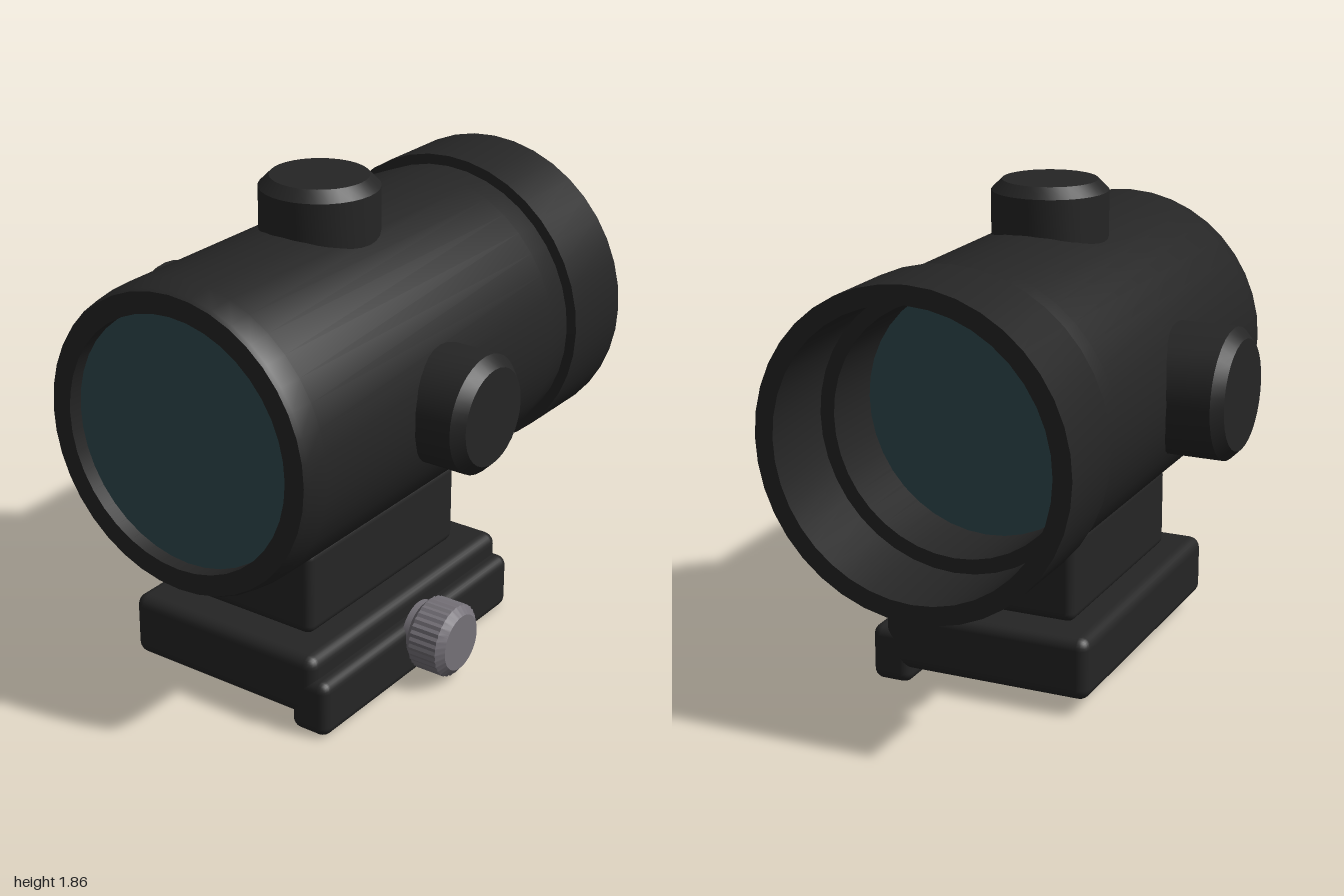
import * as THREE from 'three';
import { toCreasedNormals } from 'three/addons/utils/BufferGeometryUtils.js';
import { RoundedBoxGeometry } from 'three/addons/geometries/RoundedBoxGeometry.js';

const CX = 0.01, CY = 1.115, KNOB_Z = 0.165;

const paint = (name, color) => {
  const m = new THREE.MeshStandardMaterial({ color });
  m.name = name;
  return m;
};

export function createModel() {
  const group = new THREE.Group();
  const black = paint('matte black', 0x252525);
  const glass = paint('teal glass', 0x324d53);
  const steel = paint('grey steel', 0x757178);

  const add = (name, geometry, material, x, y, z) => {
    const mesh = new THREE.Mesh(geometry, material);
    mesh.name = name;
    mesh.position.set(x, y, z);
    group.add(mesh);
    return mesh;
  };

  // Turned part with crisp edges; profile is [radius, height] pairs
  const turned = (profile, sides) => toCreasedNormals(
    new THREE.LatheGeometry(profile.map(([r, h]) => new THREE.Vector2(r, h)), sides), 0.45);

  // Hollow tube: outer wall back to front, then the bore back again
  add('tube', turned([
    [0.47, -0.67], [0.555, -0.67], [0.57, -0.54], [0.57, 0.9],
    [0.558, 0.985], [0.55, 1], [0.472, 1], [0.47, -0.67],
  ], 40).rotateX(Math.PI / 2), black, CX, CY, 0);

  // Wider eyepiece collar with a deep, stepped opening
  add('rearCollar', turned([
    [0.47, -0.665], [0.525, -0.67], [0.525, -1], [0.595, -1],
    [0.595, -0.67], [0.47, -0.665],
  ], 40).rotateX(Math.PI / 2), black, CX, CY, 0);

  // Lenses
  for (const [name, z] of [['frontLens', 0.94], ['rearLens', -0.4]]) {
    add(name, new THREE.CylinderGeometry(0.472, 0.472, 0.01, 40).rotateX(Math.PI / 2),
      glass, CX, CY, z);
  }

  // Chamfered knobs, each turned outward from the tube axis
  const knob = (name, r, top, angle) => {
    const c = 0.04;
    add(name, turned([[0, 0.5], [r, 0.5], [r, top - c], [r - c, top], [0, top]], 32),
      black, CX, CY, KNOB_Z).rotation.z = angle;
  };
  knob('topKnob', 0.22, 0.745, 0);
  knob('leftKnob', 0.22, 0.75, -Math.PI / 2);
  knob('rightKnob', 0.25, 0.775, Math.PI / 2);

  // Mount: riser, rail base and side clamp, given by their extents
  const block = (name, [x0, x1], [y0, y1], [z0, z1], radius) => add(name,
    new RoundedBoxGeometry(x1 - x0, y1 - y0, z1 - z0, 3, radius), black,
    (x0 + x1) / 2, (y0 + y1) / 2, (z0 + z1) / 2);
  block('riser', [-0.29, 0.31], [0.3, 0.635], [-0.3, 0.64], 0.035);
  block('railBase', [-0.405, 0.425], [0.06, 0.305], [-0.44, 0.78], 0.045);
  block('sideClamp', [0.32, 0.48], [0, 0.22], [-0.44, 0.78], 0.04);

  // Clamp screw with a finely ridged rim
  const screw = turned([
    [0, 0.46], [0.11, 0.46], [0.11, 0.485], [0.138, 0.51],
    [0.138, 0.625], [0.108, 0.65], [0, 0.65],
  ], 64);
  const p = screw.attributes.position;
  for (let i = 0; i < p.count; i++) {
    const x = p.getX(i), z = p.getZ(i), r = Math.hypot(x, z);
    if (r < 0.13) continue;
    const step = Math.round(Math.atan2(z, x) / (Math.PI * 2) * 64);
    const k = step % 2 === 0 ? 1.015 : 0.985;
    p.setX(i, x * k);
    p.setZ(i, z * k);
  }
  add('clampScrew', toCreasedNormals(screw, 0.4), steel, 0, 0.17, KNOB_Z)
    .rotation.z = -Math.PI / 2;

  return group;
}
